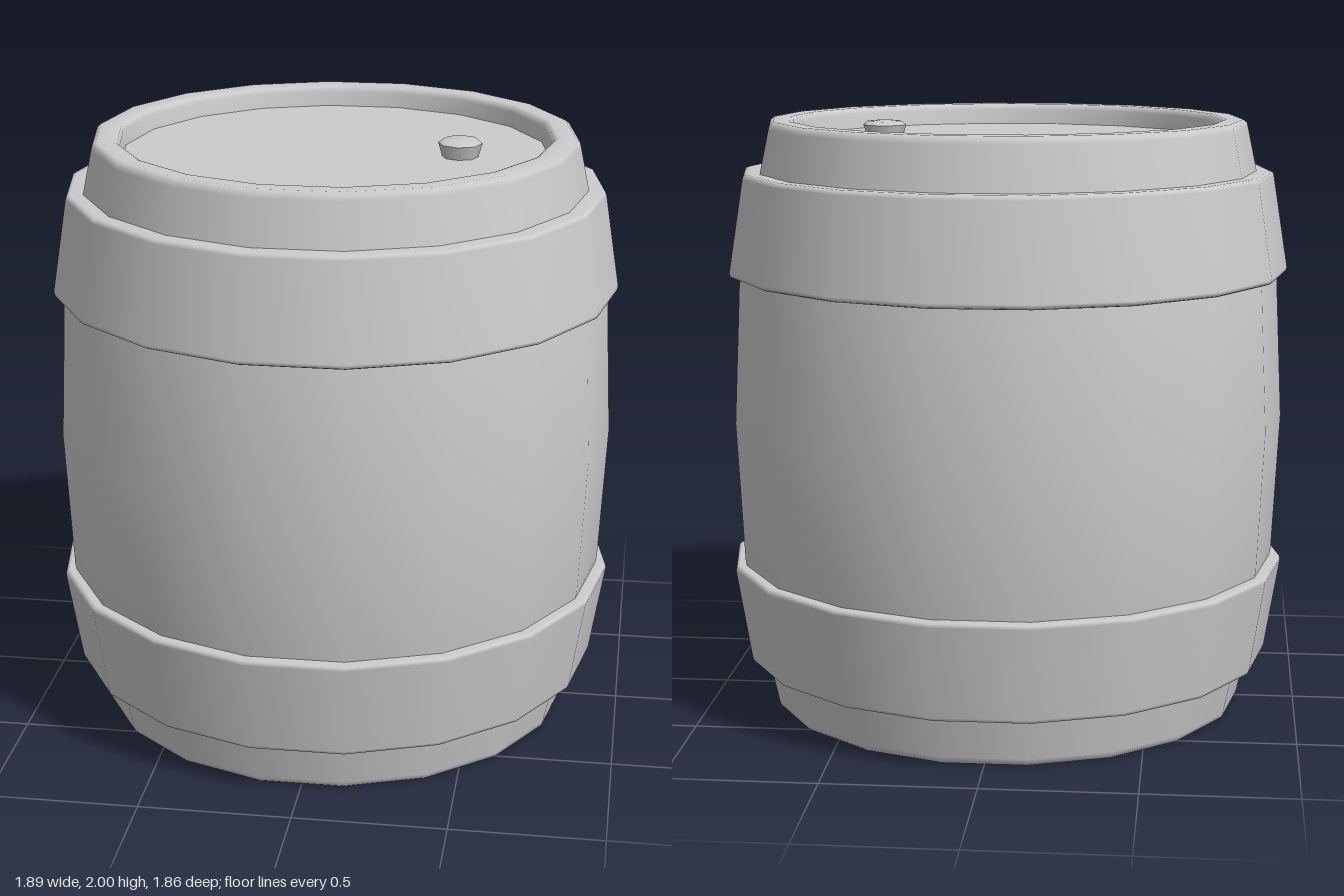
import * as THREE from 'three';

const SIDES = 18;
const material = new THREE.MeshStandardMaterial({ color: 0xcccccc });

// Revolve [radius, y] pairs with a corner on the x axis
function turned(name, profile, sides = SIDES) {
  const points = profile.map(([r, y]) => new THREE.Vector2(r, y));
  const mesh = new THREE.Mesh(new THREE.LatheGeometry(points, sides, Math.PI / 2), material);
  mesh.name = name;
  return mesh;
}

// Mirror a profile about mid height, keeping its direction
const flipped = (profile) => profile.map(([r, y]) => [r, 2 - y]).reverse();

export function createModel() {
  const group = new THREE.Group();
  group.name = 'barrel';

  // Staved wall with a rounded rim turned in to the lid
  const upperWall = [
    [0.913, 1.47], [0.838, 1.83], [0.807, 1.975], [0.803, 1.99], [0.79, 2],
    [0.735, 2], [0.722, 1.995], [0.715, 1.98], [0.708, 1.93],
  ];
  group.add(turned('wall', [...flipped(upperWall), [0.936, 1], ...upperWall]));

  // Recessed lid and bottom
  group.add(turned('lid', [[0.71, 1.93], [0, 1.93]]));
  group.add(turned('bottom', [[0, 0.07], [0.71, 0.07]]));

  // Flared hoops, wide edge toward the middle
  const hoop = [
    [0.88, 1.492], [0.932, 1.49], [0.943, 1.495], [0.946, 1.507],
    [0.896, 1.815], [0.892, 1.826], [0.88, 1.83], [0.82, 1.83],
  ];
  group.add(turned('upperHoop', hoop));
  group.add(turned('lowerHoop', flipped(hoop)));

  // Tapered stopper on the lid
  const stopper = new THREE.Group();
  stopper.name = 'stopper';
  stopper.add(turned('stopperSide', [[0.058, 1.925], [0.073, 1.975]], 8));
  stopper.add(turned('stopperCap', [[0.073, 1.975], [0.058, 1.987], [0, 1.992]], 8));
  stopper.position.x = 0.413;
  group.add(stopper);

  return group;
}
